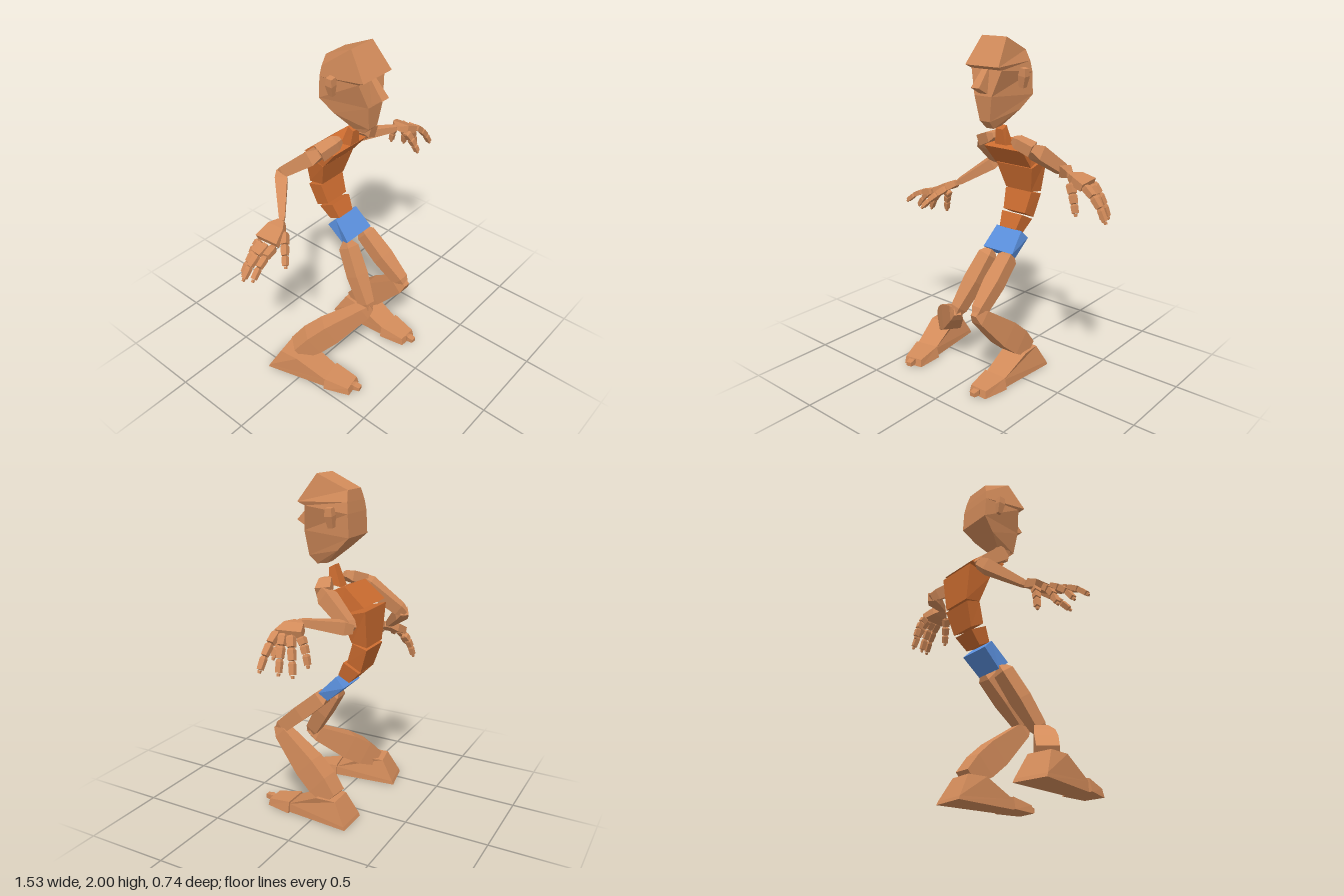
import * as THREE from 'three';

const mat = (color) => new THREE.MeshStandardMaterial({ color, flatShading: true });
const skin = mat(0xd28b5a), torso = mat(0xcc6c30), blue = mat(0x5a8fdc);
const V = (p) => new THREE.Vector3(...p);

// Skin a list of four-cornered rings and close both ends.
function loft(name, rings, material) {
  const pos = [];
  const quad = (a, b, c, d) => [a, b, c, a, c, d].forEach((p) => pos.push(p.x, p.y, p.z));
  for (let r = 0; r < rings.length - 1; r++) {
    for (let i = 0; i < 4; i++) {
      const j = (i + 1) % 4;
      quad(rings[r][i], rings[r][j], rings[r + 1][j], rings[r + 1][i]);
    }
  }
  quad(...[...rings[0]].reverse());
  quad(...rings[rings.length - 1]);
  const g = new THREE.BufferGeometry();
  g.setAttribute('position', new THREE.Float32BufferAttribute(pos, 3));
  g.computeVertexNormals();
  const mesh = new THREE.Mesh(g, material);
  mesh.name = name;
  return mesh;
}

// Tapered block along a line; sections are [t, width along ref, depth].
function limb(name, a, b, sections, ref = [0, 0, 1], material = skin) {
  const A = V(a), B = V(b), w = B.clone().sub(A).normalize();
  const u = V(ref).addScaledVector(w, -V(ref).dot(w)).normalize();
  const v = w.clone().cross(u);
  const rings = sections.map(([t, wd, dp]) =>
    [[1, 1], [-1, 1], [-1, -1], [1, -1]].map(([i, j]) =>
      A.clone().lerp(B, t).addScaledVector(u, i * wd / 2).addScaledVector(v, j * dp / 2)));
  return loft(name, rings, material);
}

// Symmetric block stacked upwards; rows are [frontY, frontZ, frontHalf, backY, backZ, backHalf].
function stack(name, cx, rows, material = skin) {
  return loft(name, rows.map(([fy, fz, fh, by, bz, bh]) => [
    V([cx + fh, fy, fz]), V([cx + bh, by, bz]), V([cx - bh, by, bz]), V([cx - fh, fy, fz]),
  ]), material);
}

function makeHead() {
  const head = new THREE.Group();
  head.name = 'head';
  head.add(stack('skull', 0.037, [
    [1.505, 0.055, 0.025, 1.515, -0.01, 0.03],
    [1.55, 0.1, 0.035, 1.6, -0.105, 0.085],
    [1.69, 0.115, 0.06, 1.675, -0.185, 0.11],
    [1.83, 0.085, 0.105, 1.8, -0.178, 0.11],
    [1.85, 0.125, 0.115, 1.86, -0.17, 0.1],
    [2.0, 0.02, 0.085, 1.92, -0.16, 0.075],
  ]));
  head.add(stack('nose', 0.037, [
    [1.74, 0.18, 0.028, 1.69, 0.09, 0.03],
    [1.83, 0.1, 0.02, 1.83, 0.06, 0.02],
  ]));
  for (const s of [-1, 1]) {
    head.add(limb('ear', [0.037 + s * 0.115, 1.725, -0.085], [0.037 + s * 0.13, 1.83, -0.08],
      [[0, 0.03, 0.03], [0.6, 0.045, 0.05], [1, 0.038, 0.035]]));
  }
  return head;
}

function makeTorso() {
  const body = new THREE.Group();
  body.name = 'torso';
  body.add(
    stack('pelvis', 0.048, [
      [0.775, 0, 0.108, 0.73, -0.05, 0.09],
      [0.885, -0.105, 0.092, 0.83, -0.16, 0.1]], blue),
    stack('waist', 0.042, [
      [0.885, -0.1, 0.06, 0.85, -0.17, 0.06],
      [0.97, -0.14, 0.075, 0.92, -0.24, 0.075]], torso),
    stack('abdomen', 0.038, [
      [0.975, -0.165, 0.08, 0.93, -0.25, 0.08],
      [1.095, -0.205, 0.095, 1.07, -0.295, 0.1]], torso),
    stack('ribs', 0.042, [
      [1.1, -0.2, 0.092, 1.085, -0.295, 0.095],
      [1.255, -0.155, 0.13, 1.295, -0.3, 0.13]], torso),
    stack('chest', 0.037, [
      [1.26, -0.15, 0.13, 1.315, -0.29, 0.13],
      [1.37, -0.06, 0.14, 1.415, -0.17, 0.12]], torso),
    stack('neck', 0.04, [
      [1.4, -0.03, 0.037, 1.39, -0.1, 0.037],
      [1.49, -0.02, 0.026, 1.51, -0.055, 0.026]], torso),
  );
  return body;
}

// Fingers are three bent segments with a small nail block at the tip.
function makeFinger(name, base, tip, lift, size) {
  const finger = new THREE.Group();
  finger.name = name;
  const mid = V(base).lerp(V(tip), 0.65);
  mid.y += lift;
  const curve = new THREE.QuadraticBezierCurve3(V(base), mid, V(tip));
  for (let i = 0; i < 3; i++) {
    const a = curve.getPoint(i / 3), b = curve.getPoint((i + 0.95) / 3);
    const s = size * (1 - i * 0.12);
    finger.add(limb('fingerSegment', a.toArray(), b.toArray(),
      [[0, s * 0.7, s * 0.7], [0.2, s, s * 0.9], [1, s * 0.9, s * 0.8]]));
  }
  const dir = curve.getTangent(1).multiplyScalar(0.015);
  finger.add(limb('fingerTip', tip, V(tip).add(dir).toArray(), [[0, 0.015, 0.015], [1, 0.012, 0.012]]));
  return finger;
}

function makeArm(name, p) {
  const arm = new THREE.Group();
  arm.name = name;
  arm.add(
    limb('collarbone', p.collar, p.shoulder, [[0, 0.03, 0.03], [0.25, 0.07, 0.06], [1, 0.085, 0.065]]),
    limb('upperArm', p.shoulder, p.elbow,
      [[-0.05, 0.05, 0.05], [0.15, 0.085, 0.085], [0.9, 0.06, 0.065], [1.05, 0.035, 0.04]], [1, 0, 0]),
    limb('forearm', p.elbow, p.wrist,
      [[-0.03, 0.05, 0.05], [0.15, 0.07, 0.07], [0.9, 0.038, 0.036], [1, 0.025, 0.025]], [0, 1, 0]),
    limb('palm', p.wrist, p.palm, [[0, 0.04, 0.03], [0.35, 0.11, 0.05], [1, 0.15, 0.04]]),
  );
  p.fingers.forEach(([base, tip]) => arm.add(makeFinger('finger', base, tip, 0.045, 0.04)));
  arm.add(makeFinger('thumb', p.thumb[0], p.thumb[1], 0.02, 0.042));
  return arm;
}

function makeLeg(name, hip, knee, ankle, across) {
  const leg = new THREE.Group();
  leg.name = name;
  leg.add(
    limb('thigh', hip, knee, [[-0.03, 0.03, 0.03], [0.08, 0.085, 0.085], [0.5, 0.095, 0.09],
      [0.93, 0.065, 0.08], [1.03, 0.04, 0.04]], [1, 0, 0]),
    limb('shin', knee, ankle, [[-0.05, 0.04, 0.04], [0.06, 0.075, 0.09], [0.55, 0.11, 0.155],
      [0.8, 0.12, 0.15], [1.02, 0.115, 0.1]], across),
  );
  return leg;
}

function makeFoot(name, x, turn) {
  const foot = new THREE.Group();
  foot.name = name;
  foot.add(
    stack('heel', 0, [
      [0, 0.165, 0.07, 0, -0.23, 0.1],
      [0.055, 0.165, 0.068, 0.02, -0.222, 0.098],
      [0.15, -0.03, 0.08, 0.15, -0.15, 0.07]]),
    stack('toes', 0, [
      [0, 0.32, 0.06, 0, 0.16, 0.09],
      [0.045, 0.31, 0.055, 0.07, 0.16, 0.075]]),
    limb('toeTip', [0, 0.03, 0.31], [0, 0.028, 0.365],
      [[0, 0.025, 0.025], [0.35, 0.04, 0.035], [1, 0.032, 0.025]], [1, 0, 0]),
  );
  foot.position.x = x;
  foot.rotation.y = turn;
  return foot;
}

export function createModel() {
  const model = new THREE.Group();
  model.name = 'figure';
  model.add(makeHead(), makeTorso());
  model.add(makeArm('rightArm', {
    collar: [-0.03, 1.44, -0.07], shoulder: [-0.155, 1.39, -0.12],
    elbow: [-0.235, 1.21, -0.345], wrist: [-0.42, 1.06, -0.165], palm: [-0.55, 1.0, -0.155],
    fingers: [
      [[-0.56, 1.0, -0.09], [-0.75, 0.91, -0.06]],
      [[-0.57, 1.0, -0.135], [-0.74, 0.86, -0.15]],
      [[-0.565, 0.985, -0.18], [-0.69, 0.835, -0.212]],
      [[-0.545, 0.97, -0.22], [-0.6, 0.83, -0.262]],
    ],
    thumb: [[-0.46, 1.03, -0.11], [-0.565, 0.915, -0.005]],
  }));
  model.add(makeArm('leftArm', {
    collar: [0.12, 1.44, -0.04], shoulder: [0.23, 1.39, -0.08],
    elbow: [0.305, 1.24, -0.285], wrist: [0.485, 1.29, -0.075], palm: [0.595, 1.255, -0.085],
    fingers: [
      [[0.61, 1.26, -0.03], [0.75, 1.1, -0.015]],
      [[0.615, 1.26, -0.07], [0.695, 1.08, -0.088]],
      [[0.61, 1.255, -0.11], [0.68, 1.075, -0.16]],
      [[0.58, 1.245, -0.15], [0.6, 1.11, -0.2]],
    ],
    thumb: [[0.52, 1.26, -0.03], [0.585, 1.115, 0.012]],
  }));
  model.add(
    makeLeg('rightLeg', [-0.03, 0.75, -0.03], [-0.105, 0.4, 0.195], [-0.44, 0.15, -0.07], [0.62, 0, -0.78]),
    makeLeg('leftLeg', [0.115, 0.76, -0.03], [0.13, 0.49, 0.28], [0.163, 0.15, -0.1], [1, 0, 0]),
    makeFoot('rightFoot', -0.435, 0.2),
    makeFoot('leftFoot', 0.162, 0),
  );
  return model;
}
